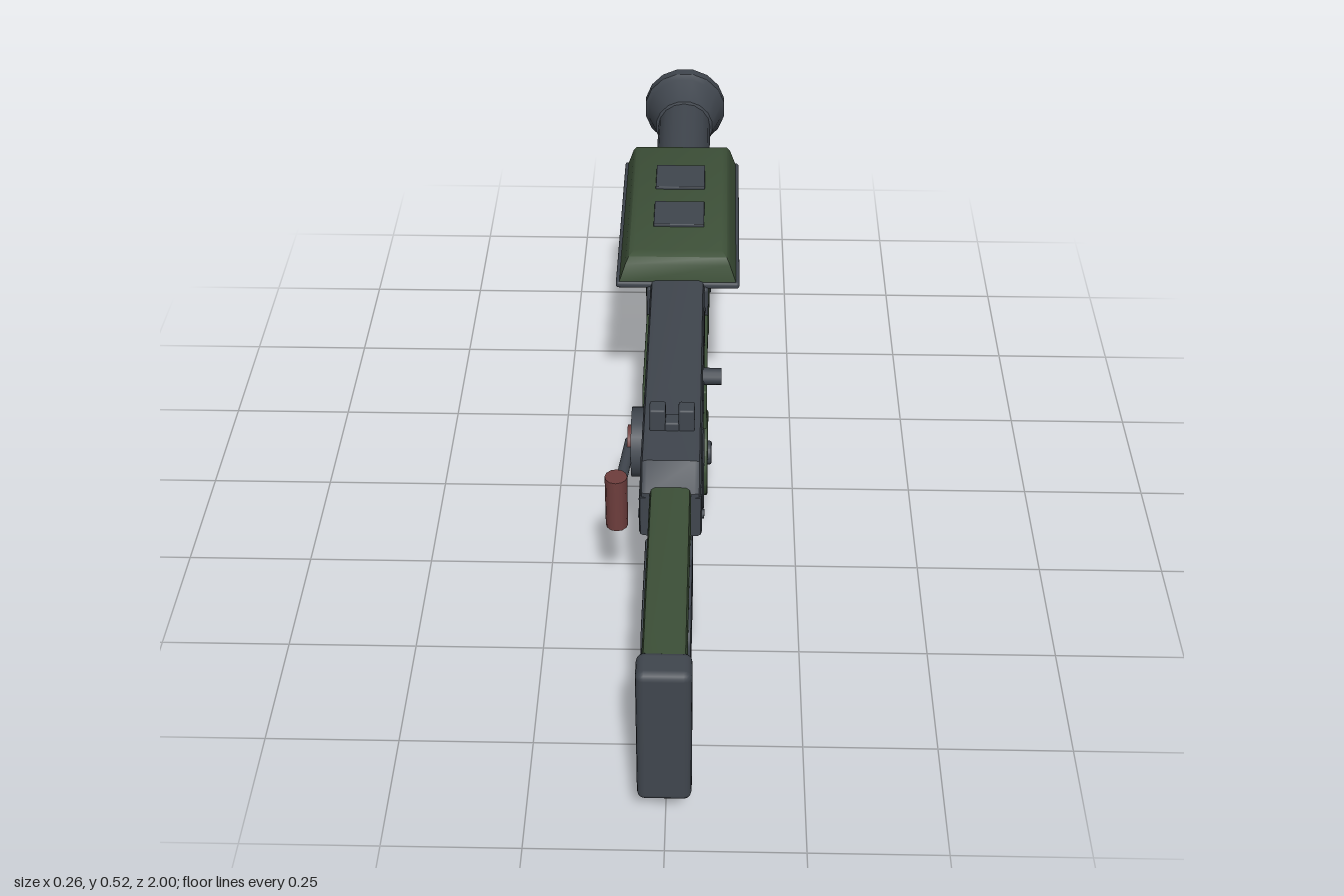
import * as THREE from 'three';
import { toCreasedNormals } from 'three/addons/utils/BufferGeometryUtils.js';
import { RoundedBoxGeometry } from 'three/addons/geometries/RoundedBoxGeometry.js';

const mat = (name, color, side = THREE.FrontSide) => new THREE.MeshStandardMaterial({ name, color, side });

export function createModel() {
  const grey = mat('gunmetal', 0x40464e);
  const green = mat('olive green', 0x3d5038);
  const red = mat('dull red', 0x6e3e3d);
  const black = mat('black', 0x1b1b1c);
  const bore = mat('bore', 0x2a2725);
  const model = new THREE.Group();
  model.name = 'launcher';

  const add = (name, geo, material) => {
    const m = new THREE.Mesh(geo, material);
    m.name = name;
    model.add(m);
    return m;
  };
  // Box given by its limits, with rounded edges
  const box = (name, material, [x0, x1], [y0, y1], [z0, z1], r = 0.006) => {
    const m = add(name, new RoundedBoxGeometry(x1 - x0, y1 - y0, z1 - z0, 2, r), material);
    m.position.set((x0 + x1) / 2, (y0 + y1) / 2, (z0 + z1) / 2);
    return m;
  };
  // Side profile of [z, y, cornerRadius] points, extruded across x with a bevel
  const slab = (name, material, pts, hw, bevel = 0.01, cx = 0) => {
    const s = new THREE.Shape();
    const n = pts.length;
    const c = new THREE.Vector2();
    pts.forEach((p, i) => {
      const a = pts[(i + n - 1) % n], b = pts[(i + 1) % n], r = p[2] || 0;
      const toward = (q) => new THREE.Vector2(q[0] - p[0], q[1] - p[1]).setLength(r).add(c.set(p[0], p[1]));
      const p0 = toward(a), p1 = toward(b);
      if (i === 0) s.moveTo(p0.x, p0.y); else s.lineTo(p0.x, p0.y);
      if (r) s.quadraticCurveTo(p[0], p[1], p1.x, p1.y);
    });
    s.closePath();
    const g = new THREE.ExtrudeGeometry(s, {
      depth: 2 * (hw - bevel), bevelEnabled: bevel > 0, bevelThickness: bevel,
      bevelSize: bevel, bevelOffset: -bevel, bevelSegments: 2, curveSegments: 5,
    });
    g.translate(0, 0, -(hw - bevel));
    g.rotateY(-Math.PI / 2);
    g.translate(cx, 0, 0);
    return add(name, toCreasedNormals(g, 0.6), material);
  };
  // Round bar between two points
  const rod = (name, material, a, b, r, sides = 12) => {
    const p = new THREE.Vector3(...a), q = new THREE.Vector3(...b);
    const m = add(name, new THREE.CylinderGeometry(r, r, p.distanceTo(q), sides), material);
    m.position.copy(p).lerp(q, 0.5);
    m.quaternion.setFromUnitVectors(new THREE.Vector3(0, 1, 0), q.sub(p).normalize());
    return m;
  };
  // Turned profile of [radius, height] points
  const turned = (name, material, pts, sides = 16) => add(name, toCreasedNormals(
    new THREE.LatheGeometry(pts.map((p) => new THREE.Vector2(...p)), sides, Math.PI / sides), 0.5), material);

  // Stock with butt plate and cheek block
  box('buttPlate', grey, [-0.047, 0.047], [0.13, 0.43], [0.938, 1], 0.014);
  slab('stock', green, [
    [0.945, 0.428], [0.945, 0.14, 0.02], [0.755, 0.14, 0.035], [0.755, 0.252], [0.62, 0.252],
    [0.61, 0.28], [0.5, 0.28], [0.5, 0.428],
  ], 0.038, 0.01);
  slab('cheekBlock', grey, [
    [0.86, 0.385, 0.04], [0.86, 0.27, 0.03], [0.81, 0.25], [0.61, 0.25], [0.61, 0.385],
  ], 0.043, 0.003);

  // Receiver: lower body and top cover
  slab('receiver', grey, [
    [0.525, 0.41], [0.525, 0.32], [0.47, 0.28], [-0.115, 0.28], [-0.115, 0.41],
  ], 0.058, 0.008);
  slab('receiverCover', grey, [
    [0.525, 0.395], [-0.115, 0.395], [-0.115, 0.462], [0.48, 0.462], [0.525, 0.42],
  ], 0.056, 0.012);
  box('frontCollar', grey, [-0.064, 0.064], [0.285, 0.45], [-0.125, -0.1], 0.008);
  for (const s of [-1, 1]) {
    box('sidePanel', green, [s * 0.058 - 0.006, s * 0.058 + 0.006], [0.292, 0.387], [-0.1, 0.17], 0.004);
    rod('receiverPin', grey, [s * 0.05, 0.315, 0.455], [s * 0.062, 0.315, 0.455], 0.009);
    box('rearSightPost', grey, [s * 0.027 - 0.015, s * 0.027 + 0.015], [0.45, 0.508], [0.36, 0.392], 0.004);
  }
  box('rearSightBase', grey, [-0.014, 0.014], [0.45, 0.479], [0.36, 0.392], 0.004);
  box('ejectionPort', black, [0.05, 0.058], [0.402, 0.45], [-0.02, 0.13], 0.002);
  rod('chargingHandle', grey, [0.04, 0.405, 0.142], [0.092, 0.405, 0.142], 0.017);

  // Grip, trigger and brace
  slab('grip', grey, [
    [0.415, 0.295], [0.512, 0.045, 0.02], [0.41, 0.012, 0.02], [0.315, 0.265], [0.33, 0.295],
  ], 0.04, 0.012);
  slab('trigger', grey, [[0.283, 0.285], [0.268, 0.215], [0.255, 0.215], [0.245, 0.285]], 0.011, 0.003);
  rod('brace', grey, [0, 0.187, 0.37], [0, 0.187, 0.15], 0.016);

  // Drum magazine
  const drumY = 0.137, drumZ = 0.048;
  const wheel = (name, material, r, hw, bevel) => {
    const m = turned(name, material, [[0, -hw], [r - bevel, -hw], [r - bevel * 0.3, -hw + bevel * 0.3],
      [r, -hw + bevel], [r, hw - bevel], [r - bevel * 0.3, hw - bevel * 0.3], [r - bevel, hw], [0, hw]]);
    m.rotation.z = Math.PI / 2;
    m.position.set(0, drumY, drumZ);
  };
  wheel('drum', grey, 0.137, 0.06, 0.02);
  wheel('drumFace', green, 0.09, 0.067, 0.004);
  wheel('drumHub', grey, 0.025, 0.075, 0.004);
  box('drumMount', grey, [-0.045, 0.045], [0.23, 0.295], [-0.035, 0.13], 0.01);

  // Side crank with handle
  const crankY = 0.353, crankZ = 0.287;
  rod('crankDisc', grey, [-0.05, crankY, crankZ], [-0.08, crankY, crankZ], 0.068, 16);
  rod('crankHub', red, [-0.07, crankY, crankZ], [-0.088, crankY, crankZ], 0.033, 16);
  rod('crankArm', grey, [-0.083, crankY, crankZ], [-0.102, crankY, 0.465], 0.011);
  rod('crankHandle', red, [-0.102, 0.295, 0.465], [-0.102, 0.41, 0.465], 0.021);

  // Handguard: lower shell, flange and tapered cover
  slab('handguard', green, [
    [-0.115, 0.45], [-0.115, 0.295], [-0.56, 0.295, 0.025], [-0.588, 0.33], [-0.588, 0.45],
  ], 0.066, 0.02);
  box('flange', grey, [-0.128, 0.128], [0.444, 0.459], [-0.603, -0.108], 0.006);
  const cover = new THREE.BoxGeometry(1, 3, 1, 1, 3, 1);
  const levels = [[0.122, 0.242, 0.455], [0.108, 0.236, 0.497], [0.101, 0.226, 0.51], [0.09, 0.208, 0.516]];
  const pos = cover.attributes.position;
  for (let i = 0; i < pos.count; i++) {
    const [hx, hz, y] = levels[Math.round(pos.getY(i) + 1.5)];
    pos.setXYZ(i, Math.sign(pos.getX(i)) * hx, y, -0.354 + Math.sign(pos.getZ(i)) * hz);
  }
  add('handguardCover', toCreasedNormals(cover, 0.6), green);
  for (const z of [-0.282, -0.434]) {
    box('topPlate', grey, [-0.053, 0.053], [0.513, 0.522], [z - 0.047, z + 0.047], 0.002);
    for (const s of [-1, 1]) {
      slab('sideVent', grey, [
        [z + 0.03, 0.435, 0.008], [z + 0.03, 0.335, 0.012], [z - 0.03, 0.335, 0.012], [z - 0.03, 0.435, 0.008],
      ], 0.004, 0.001, s * 0.065);
    }
  }

  // Barrel with flared hollow muzzle
  const barrelY = 0.39;
  rod('barrel', grey, [0, barrelY, -0.56], [0, barrelY, -0.9], 0.062, 16);
  const muzzle = turned('muzzle', grey, [
    [0.05, 0.885], [0.068, 0.89], [0.088, 0.962], [0.097, 0.975], [0.097, 1], [0.064, 1], [0.058, 0.93],
  ]);
  muzzle.rotation.x = -Math.PI / 2;
  muzzle.position.y = barrelY;
  const boreDisc = add('bore', new THREE.CircleGeometry(0.06, 16), bore);
  boreDisc.rotation.y = Math.PI;
  boreDisc.position.set(0, barrelY, -0.932);

  return model;
}
